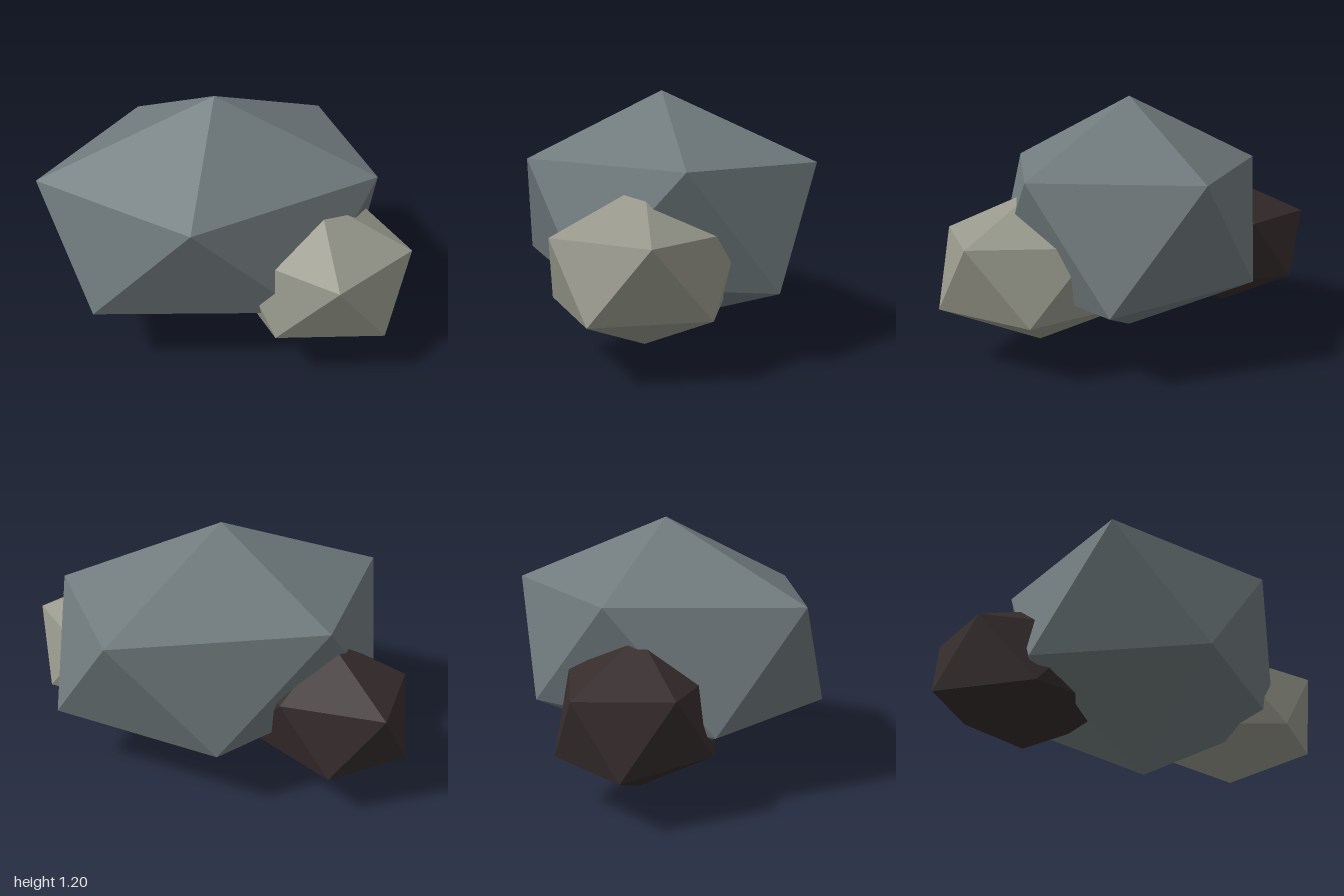
import * as THREE from 'three';

// Twenty-sided rock, point-symmetric about its centre: two poles, an upper ring
// of five [x, z] offsets (counter-clockwise from above) and its mirrored lower ring.
function makeRock(name, material, center, halfHeight, ring) {
  const ringY = halfHeight / Math.sqrt(5);
  const top = [0, halfHeight, 0];
  const bottom = [0, -halfHeight, 0];
  const upper = (i) => [ring[i % 5][0], ringY, ring[i % 5][1]];
  const lower = (i) => upper(i).map((v) => -v);

  const points = [];
  for (let i = 0; i < 5; i++) {
    const a = upper(i), b = upper(i + 1);
    const c = lower(i + 3), d = lower(i + 4);
    points.push(top, a, b); // cap
    points.push(a, c, b, b, c, d); // waist
    points.push(bottom, d, c); // underside
  }
  const geometry = new THREE.BufferGeometry();
  geometry.setAttribute('position', new THREE.Float32BufferAttribute(points.flat(), 3));
  geometry.computeVertexNormals();

  const mesh = new THREE.Mesh(geometry, material);
  mesh.name = name;
  mesh.position.set(...center);
  return mesh;
}

function flatMaterial(name, color) {
  const material = new THREE.MeshStandardMaterial({ color, flatShading: true });
  material.name = name;
  return material;
}

export function createModel() {
  const group = new THREE.Group();
  group.name = 'rockCluster';

  // Large central boulder
  group.add(makeRock('mainBoulder', flatMaterial('slateGrey', 0x707a7d), [-0.02, 0.6, 0], 0.6,
    [[0.795, -0.085], [0.35, -0.72], [-0.585, -0.37], [-0.715, 0.495], [0.135, 0.665]]));

  // Pale stone on the model's left
  group.add(makeRock('paleRock', flatMaterial('paleStone', 0x97988b), [0.54, 0.4275, 0.09], 0.3675,
    [[0.455, -0.03], [0.07, -0.42], [-0.41, -0.23], [-0.325, 0.285], [0.205, 0.4]]));

  // Dark stone at the back right
  group.add(makeRock('darkRock', flatMaterial('darkBrown', 0x362c2c), [-0.59, 0.3925, -0.21], 0.3525,
    [[0.41, 0.135], [0.18, -0.3], [-0.295, -0.315], [-0.365, 0.1], [0.07, 0.38]]));

  return group;
}
